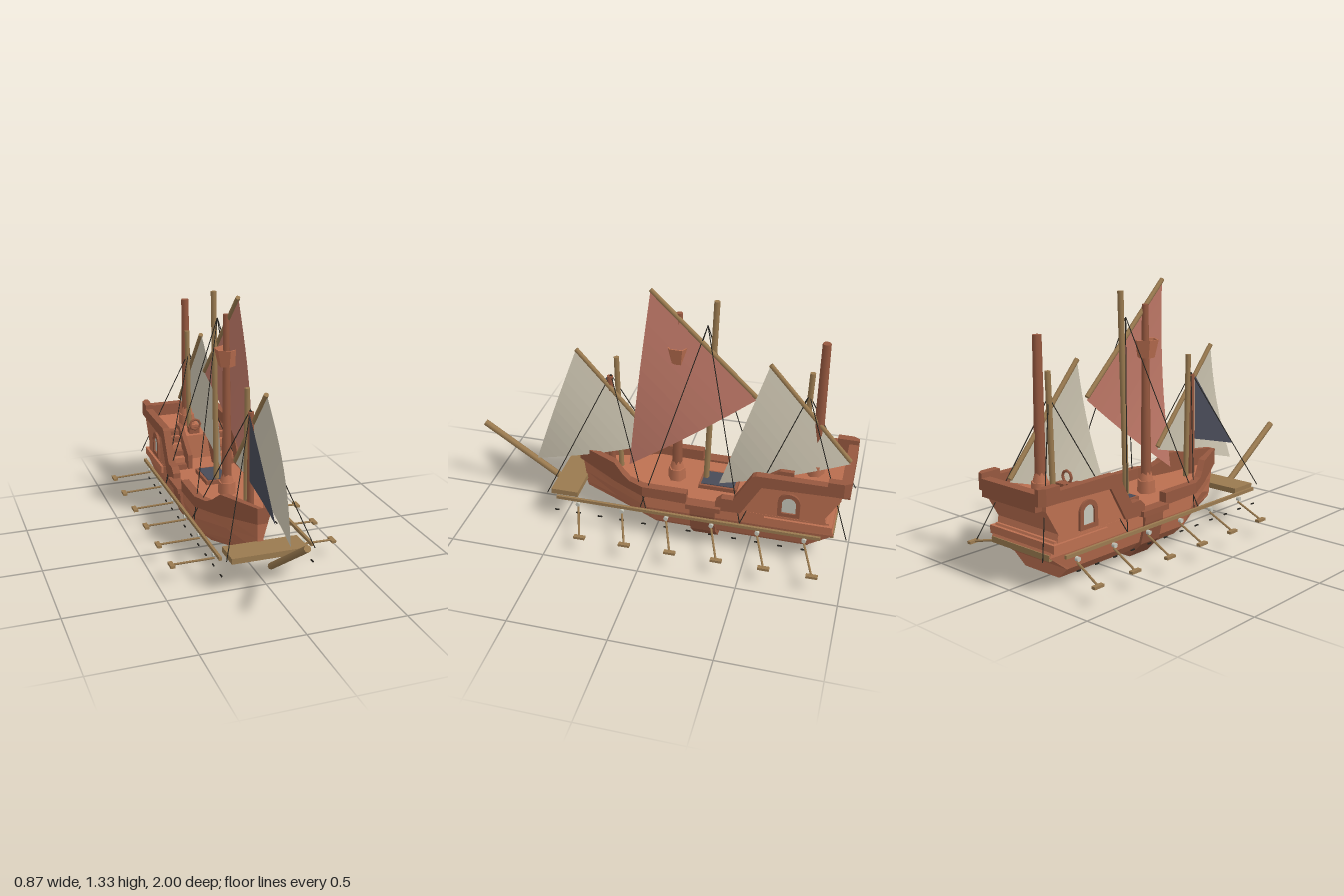
import * as THREE from 'three';

const mat = (name, color, side = THREE.FrontSide) => {
  const m = new THREE.MeshStandardMaterial({ color, side, flatShading: false });
  m.name = name;
  return m;
};

export function createModel() {
  const ship = new THREE.Group();
  ship.name = 'sailingShip';
  const D = THREE.DoubleSide;
  const hullWood = mat('hullWood', 0xbb6f50), trim = mat('trimWood', 0x96583f);
  const tan = mat('tanWood', 0x9a7a4f), rope = mat('rope', 0x26241f);
  const cream = mat('creamSail', 0xd0c8b4, D), red = mat('redSail', 0xc27a69, D);
  const navy = mat('navy', 0x484b58, D), pale = mat('paleMetal', 0xc6c6ba);
  const V = (x, y, z) => new THREE.Vector3(x, y, z);

  const add = (name, geo, m) => {
    const mesh = new THREE.Mesh(geo, m);
    mesh.name = name;
    ship.add(mesh);
    return mesh;
  };
  // box from min/max extents
  const box = (name, m, x0, x1, y0, y1, z0, z1) =>
    add(name, new THREE.BoxGeometry(Math.abs(x1 - x0), y1 - y0, z1 - z0)
      .translate((x0 + x1) / 2, (y0 + y1) / 2, (z0 + z1) / 2), m);
  // straight round bar between two points
  const rod = (name, m, a, b, r0, r1 = r0, sides = 8) => {
    const mesh = add(name, new THREE.CylinderGeometry(r1, r0, a.distanceTo(b), sides), m);
    mesh.position.copy(a).add(b).multiplyScalar(0.5);
    mesh.quaternion.setFromUnitVectors(V(0, 1, 0), b.clone().sub(a).normalize());
    return mesh;
  };
  // side profile of [z, y] points, extruded from x0 to x1
  const sideSlab = (name, m, pts, x0, x1) => {
    const shape = new THREE.Shape(pts.map(p => new THREE.Vector2(p[0], p[1])));
    return add(name, new THREE.ExtrudeGeometry(shape, { depth: x1 - x0, bevelEnabled: false })
      .rotateY(-Math.PI / 2).translate(x1, 0, 0), m);
  };
  // capped loft through rings (counterclockwise seen from +z, ordered towards +z)
  const loft = (name, m, rings) => {
    const pos = [], n = rings[0].length;
    const quad = (a, b, c, d) => [a, b, c, a, c, d].forEach(p => pos.push(...p));
    for (let i = 0; i < rings.length - 1; i++)
      for (let j = 0; j < n; j++) {
        const k = (j + 1) % n;
        quad(rings[i][j], rings[i][k], rings[i + 1][k], rings[i + 1][j]);
      }
    const f = rings[0], l = rings[rings.length - 1];
    for (let j = 0; j < n / 2 - 1; j++) {
      quad(f[n - 1 - j], f[n - 2 - j], f[j + 1], f[j]);
      quad(l[j], l[j + 1], l[n - 2 - j], l[n - 1 - j]);
    }
    const g = new THREE.BufferGeometry();
    g.setAttribute('position', new THREE.Float32BufferAttribute(pos, 3));
    g.computeVertexNormals();
    return add(name, g, m);
  };
  const mirrorRing = half => [...half, ...half.map(([x, y, z]) => [-x, y, z]).reverse()];

  // Hull with chined sides and tapering bow
  loft('hull', hullWood, [
    [[0.115, 0.03, -0.8], [0.18, 0.09, -0.81], [0.2, 0.18, -0.93], [0.2, 0.25, -0.9]],
    [[0.115, 0.03, -0.79], [0.18, 0.09, -0.79], [0.205, 0.18, -0.79], [0.205, 0.25, -0.79]],
    [[0.115, 0.03, 0], [0.18, 0.09, 0], [0.205, 0.18, 0.03], [0.205, 0.25, 0.05]],
    [[0.06, 0.075, 0.21], [0.085, 0.125, 0.22], [0.115, 0.2, 0.23], [0.13, 0.27, 0.23]],
    [[0.008, 0.115, 0.41], [0.012, 0.14, 0.415], [0.016, 0.21, 0.42], [0.02, 0.3, 0.43]],
  ].map(mirrorRing));

  // Midship band and gangway sill
  const band = z => mirrorRing([[0.115, 0, z], [0.192, 0.08, z], [0.22, 0.19, z], [0.222, 0.24, z]]);
  loft('midshipBand', trim, [band(-0.33), band(-0.2)]);
  for (const s of [-1, 1]) box('gangwaySill', trim, s * 0.18, s * 0.24, 0.235, 0.262, -0.36, -0.18);

  // Stern castle
  sideSlab('sternCastle', hullWood,
    [[-0.62, 0.24], [-0.62, 0.39], [-0.95, 0.42], [-0.95, 0.4], [-0.88, 0.28], [-0.89, 0.24]], -0.2, 0.2);
  box('sternLedge', hullWood, -0.218, 0.218, 0.2, 0.24, -0.92, -0.58);
  box('sternRail', trim, -0.18, 0.18, 0.4, 0.485, -0.99, -0.94);

  for (const s of [-1, 1]) {
    const span = (a, b) => s > 0 ? [a, b] : [-b, -a];
    // Side walls, aft bulwark and corner posts
    sideSlab('quarterWall', hullWood,
      [[-0.33, 0.22], [-0.44, 0.26], [-0.54, 0.43], [-0.95, 0.43], [-0.95, 0.4], [-0.88, 0.28], [-0.89, 0.22]], ...span(0.185, 0.204));
    sideSlab('aftBulwark', trim,
      [[-0.33, 0.24], [-0.33, 0.29], [-0.36, 0.318], [-0.42, 0.318], [-0.51, 0.475], [-0.53, 0.485],
        [-0.9, 0.485], [-0.9, 0.43], [-0.56, 0.42], [-0.46, 0.245]], ...span(0.18, 0.22));
    const post = [[0.18, -0.99], [0.2, -0.99], [0.22, -0.96], [0.22, -0.88], [0.18, -0.88]]
      .map(([x, z]) => new THREE.Vector2(s * x, -z));
    add('sternCorner', new THREE.ExtrudeGeometry(new THREE.Shape(post), { depth: 0.08, bevelEnabled: false })
      .rotateX(-Math.PI / 2).translate(0, 0.43, 0), trim);

    // Fore bulwark: [z, outer x, bottom, top]
    loft('foreBulwark', trim, [
      [-0.18, 0.22, 0.25, 0.312], [0.05, 0.22, 0.255, 0.312], [0.13, 0.184, 0.26, 0.312],
      [0.17, 0.165, 0.262, 0.335], [0.22, 0.14, 0.265, 0.378], [0.445, 0.026, 0.295, 0.378],
    ].map(([z, x, y0, y1]) => {
      const i = Math.max(x - 0.042, 0);
      const r = [[s * x, y0, z], [s * x, y1, z], [s * i, y1, z], [s * i, y0, z]];
      return s > 0 ? r : r.reverse();
    }));

    // Arched side window
    const arch = (w, y0, y1) => {
      const p = new THREE.Shape();
      p.moveTo(-w, y0); p.lineTo(w, y0); p.lineTo(w, y1);
      p.absarc(0, y1, w, 0, Math.PI, false); p.lineTo(-w, y0);
      return p;
    };
    const frame = arch(0.056, 0.265, 0.345);
    frame.holes.push(arch(0.035, 0.285, 0.343));
    const plate = (name, shape, depth, m) => add(name,
      new THREE.ExtrudeGeometry(shape, { depth, bevelEnabled: false, curveSegments: 8 })
        .rotateY(s * Math.PI / 2).translate(s * 0.203, 0, -0.7), m);
    plate('windowFrame', frame, 0.014, trim);
    plate('windowPane', arch(0.035, 0.285, 0.343), 0.005, pale);

    // Stairs to the aft deck with handrail
    for (let i = 0; i < 5; i++)
      box('stairStep', i % 2 ? hullWood : trim, s * 0.1, s * 0.185, 0.25, 0.28 + i * 0.029, -0.62, -0.47 - i * 0.032);
    sideSlab('stairRail', trim,
      [[-0.47, 0.25], [-0.47, 0.33], [-0.63, 0.445], [-0.7, 0.445], [-0.7, 0.39], [-0.63, 0.39], [-0.54, 0.25]], ...span(0.068, 0.092));
    box('deckRail', trim, s * 0.092, s * 0.18, 0.395, 0.42, -0.69, -0.64);

    // Long outrigger rail, oars and locks
    box('oarRail', tan, s * 0.229, s * 0.243, 0.17, 0.187, -0.87, 0.51);
    for (let i = 0; i < 6; i++) {
      const z = -0.79 + i * 0.237;
      rod('oar', tan, V(s * 0.228, 0.13, z), V(s * 0.425, 0.093, z - 0.068), 0.006, 0.006, 6);
      box('oarBlade', tan, s * 0.414, s * 0.437, 0.085, 0.098, z - 0.098, z - 0.04);
      rod('oarLock', pale, V(s * 0.222, 0.148, z), V(s * 0.24, 0.148, z), 0.012);
      for (const dz of [0.0, 0.118])
        box('oarPeg', rope, s * 0.232, s * 0.238, 0.09, 0.096, z + dz - 0.012, z + dz + 0.012);
    }
  }

  // Bow and stern boards, bowsprit
  box('bowBoard', tan, -0.195, 0.195, 0.163, 0.192, 0.41, 0.555);
  box('sternBoard', tan, -0.195, 0.195, 0.163, 0.192, -0.93, -0.79);
  rod('bowsprit', tan, V(-0.004, 0.132, 0.57), V(-0.004, 0.415, 0.99), 0.017);

  // Deck hatch
  box('hatchFrame', trim, -0.07, 0.07, 0.25, 0.272, -0.41, -0.21);
  box('hatchCover', navy, -0.057, 0.057, 0.27, 0.276, -0.395, -0.222);

  // Helm
  box('helmPost', trim, -0.03, 0.03, 0.38, 0.43, -0.68, -0.64);
  add('helmWheel', new THREE.TorusGeometry(0.03, 0.007, 6, 8).translate(0, 0.45, -0.63), trim);

  // Masts: brown poles with hexagonal feet, tan poles beside them
  rod('foreMast', trim, V(0, 0.26, 0.275), V(0, 0.81, 0.275), 0.02, 0.016);
  rod('mainMast', trim, V(0, 0.25, -0.08), V(0, 1.21, -0.085), 0.028, 0.016);
  rod('aftMast', trim, V(0, 0.39, -0.795), V(0, 1.14, -0.795), 0.027, 0.021);
  rod('foreTanMast', tan, V(-0.006, 0.26, 0.225), V(-0.006, 0.92, 0.24), 0.014);
  rod('mainTanMast', tan, V(-0.006, 0.25, -0.235), V(-0.006, 1.29, -0.266), 0.015);
  rod('aftTanMast', tan, V(-0.006, 0.39, -0.725), V(-0.006, 0.97, -0.742), 0.014);
  for (const [y, z] of [[0.25, -0.08], [0.4, -0.795]]) {
    rod('mastFoot', hullWood, V(0, y, z), V(0, y + 0.065, z), 0.048, 0.045, 6);
    rod('mastCollar', hullWood, V(0, y + 0.065, z), V(0, y + 0.11, z), 0.038, 0.026, 6);
  }

  // Lookout basket, open on top
  const nest = [[0, 0.945], [0.044, 0.945], [0.065, 1.035], [0.057, 1.035], [0.038, 0.96], [0, 0.96]];
  add('lookoutBasket', new THREE.LatheGeometry(nest.map(p => new THREE.Vector2(...p)), 6)
    .toNonIndexed().translate(0, 0, -0.08), hullWood).geometry.computeVertexNormals();

  // Triangular sails: head, foot of the yard, clew as [z, y]
  const sail = (name, m, head, tail, clew, x0, belly) => {
    const N = 12, pos = [];
    const pt = (i, j) => {
      const v = i / N, u = i ? j / i : 0;
      const z = head[0] + v * ((1 - u) * (tail[0] - head[0]) + u * (clew[0] - head[0]));
      const y = head[1] + v * ((1 - u) * (tail[1] - head[1]) + u * (clew[1] - head[1]));
      const w = v * u;
      return [x0 + belly * (w + 0.7 * Math.sin(Math.PI * w)), y, z];
    };
    for (let i = 0; i < N; i++)
      for (let j = 0; j <= i; j++) {
        pos.push(...pt(i, j), ...pt(i + 1, j), ...pt(i + 1, j + 1));
        if (j < i) pos.push(...pt(i, j), ...pt(i + 1, j + 1), ...pt(i, j + 1));
      }
    const g = new THREE.BufferGeometry();
    g.setAttribute('position', new THREE.Float32BufferAttribute(pos, 3));
    g.computeVertexNormals();
    add(name, g, m);
  };
  const rigs = [
    ['fore', cream, [0.445, 0.945], [0.02, 0.465], [0.68, 0.27]],
    ['main', red, [0.055, 1.32], [-0.48, 0.805], [0.165, 0.32]],
    ['aft', cream, [-0.54, 0.995], [-0.965, 0.51], [-0.315, 0.285]],
  ];
  for (const [name, m, head, tail, clew] of rigs) {
    sail(name + 'Sail', m, head, [tail[0], tail[1] - 0.015], clew, 0.014, 0.036);
    rod(name + 'Yard', tan, V(0.012, head[1], head[0]), V(0.012, tail[1], tail[0]), 0.012);
  }
  sail('jib', navy, [0.29, 0.8], [0.29, 0.46], [0.63, 0.37], -0.012, 0.004);

  // Rigging lines: [mast z, mast y, forward z, aft z]
  for (const [z, y, zf, za] of [[0.27, 0.82, 0.565, 0.03], [-0.225, 1.16, 0.06, -0.46], [-0.735, 0.85, -0.46, -1.0]])
    for (const s of [-1, 1])
      for (const ze of [zf, za])
        rod('rigging', rope, V(0, y, z), V(s * 0.225, 0.187, Math.max(ze, -0.995)), 0.0025, 0.0025, 5);

  return ship;
}
